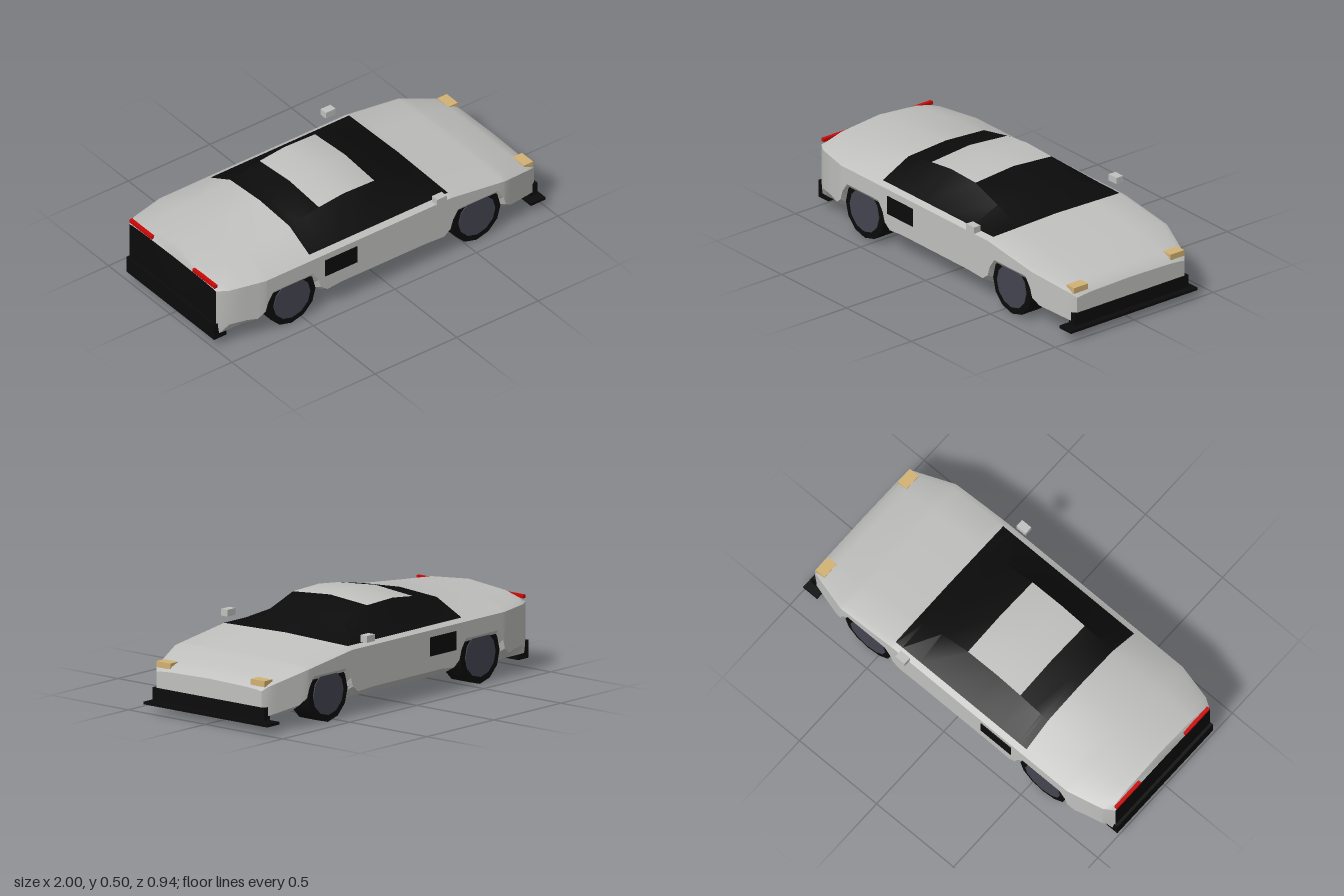
import * as THREE from 'three';
import { toCreasedNormals } from 'three/addons/utils/BufferGeometryUtils.js';

const mat = (name, color) => {
  const m = new THREE.MeshStandardMaterial({ color });
  m.name = name;
  return m;
};

// Straight-line interpolation through [x, value] points
function curve(points, x) {
  if (x <= points[0][0]) return points[0][1];
  for (let i = 1; i < points.length; i++) {
    const [x0, v0] = points[i - 1], [x1, v1] = points[i];
    if (x <= x1) return v0 + (v1 - v0) * (x - x0) / (x1 - x0);
  }
  return points[points.length - 1][1];
}

const AXLES = [-0.57, 0.565];

// Body lines along the length of the car
const SIDE_Z = [[-0.985, 0.35], [-0.93, 0.385], [-0.74, 0.43], [0.73, 0.43], [0.95, 0.36], [0.975, 0.34]];
const BELT_Y = [[-0.985, 0.335], [0.4, 0.335], [0.73, 0.29], [0.95, 0.23], [0.975, 0.21]];
const INNER_Y = [[-0.985, 0.338], [-0.965, 0.352], [-0.45, 0.35], [0.4, 0.35], [0.73, 0.302], [0.95, 0.24], [0.975, 0.215]];
const SHOULDER_Y = [[-0.985, 0.342], [-0.965, 0.378], [-0.74, 0.4], [-0.45, 0.43], [-0.27, 0.465], [-0.12, 0.482],
  [0.07, 0.476], [0.24, 0.418], [0.4, 0.354], [0.73, 0.308], [0.9, 0.262], [0.95, 0.244], [0.975, 0.22]];
const TOP_Y = [[-0.985, 0.345], [-0.965, 0.4], [-0.74, 0.416], [-0.45, 0.446], [-0.27, 0.486], [-0.12, 0.503],
  [0.07, 0.495], [0.24, 0.43], [0.4, 0.36], [0.73, 0.312], [0.9, 0.268], [0.95, 0.248], [0.975, 0.225]];
const SILL_Y = [[-0.985, 0.13], [0.74, 0.125], [0.975, 0.08]];
const ARCH_Y = [[0, 0.25], [0.12, 0.25], [0.155, 0.2], [0.17, 0.15], [0.21, 0.12]];
const ARCH_Z = [[0, 0.3], [0.15, 0.3], [0.21, 0.36]];

// One closed cross-section: floor, up the left side, over the top, down the right
function section(x) {
  const d = Math.min(...AXLES.map(a => Math.abs(x - a)));
  const side = curve(SIDE_Z, x);
  const sill = d < 0.21 ? curve(ARCH_Y, d) : curve(SILL_Y, x);
  const half = [
    [Math.min(curve(ARCH_Z, d), side - 0.005), 0.08],
    [side, Math.max(sill, 0.085)],
    [side, curve(BELT_Y, x)],
    [side - 0.03, curve(INNER_Y, x)],
    [0.24, curve(SHOULDER_Y, x)],
  ];
  const ring = [[0, 0.08], ...half, [0, curve(TOP_Y, x)], ...half.slice().reverse().map(([z, y]) => [-z, y])];
  return ring.map(([z, y]) => [x, y, z]);
}

function bodyGeometry() {
  const xs = [-0.985, -0.965, -0.93, -0.84, -0.45, -0.27, -0.12, 0.07, 0.24, 0.4, 0.9, 0.95, 0.975];
  for (const a of AXLES) for (const d of [0.12, 0.155, 0.17, 0.21]) xs.push(a - d, a + d);
  xs.sort((a, b) => a - b);
  const rings = xs.map(section), n = rings[0].length;
  const faces = [[], [], []]; // paint, glass, rear panel
  for (let i = 0; i < xs.length - 1; i++) {
    const mid = (xs[i] + xs[i + 1]) / 2;
    const cabin = mid > -0.45 && mid < 0.4;
    const roof = mid > -0.27 && mid < 0.07;
    for (let j = 0; j < n; j++) {
      const k = (j + 1) % n;
      const a = rings[i][j], b = rings[i + 1][j], c = rings[i + 1][k], d = rings[i][k];
      const sideGlass = j === 4 || j === 7, topStrip = j === 5 || j === 6;
      const glass = cabin && (sideGlass || (topStrip && !roof));
      faces[glass ? 1 : 0].push(...a, ...b, ...c, ...a, ...c, ...d);
    }
  }
  // Nose and tail caps
  const tail = rings[0], nose = rings[rings.length - 1];
  for (let j = 1; j < n - 1; j++) {
    faces[2].push(...tail[0], ...tail[j], ...tail[j + 1]);
    faces[0].push(...nose[0], ...nose[j + 1], ...nose[j]);
  }
  const geo = new THREE.BufferGeometry();
  geo.setAttribute('position', new THREE.Float32BufferAttribute(faces.flat(), 3));
  const smooth = toCreasedNormals(geo, 0.45);
  let start = 0;
  faces.forEach((f, i) => {
    smooth.addGroup(start, f.length / 3, i);
    start += f.length / 3;
  });
  return smooth;
}

export function createModel() {
  const car = new THREE.Group();
  car.name = 'car';
  const silver = mat('silver paint', 0xc0c0be);
  const black = mat('black trim', 0x0b0b0b);
  const hubGrey = mat('dark wheel grey', 0x444450);
  const amber = mat('amber lamp', 0xd2b274);
  const red = mat('red lamp', 0xcc0808);

  const add = (name, geo, material, x, y, z) => {
    const m = new THREE.Mesh(geo, material);
    m.name = name;
    m.position.set(x, y, z);
    car.add(m);
    return m;
  };
  // Box given by its low and high corners
  const box = (name, material, [x0, y0, z0], [x1, y1, z1]) =>
    add(name, new THREE.BoxGeometry(x1 - x0, y1 - y0, z1 - z0), material, (x0 + x1) / 2, (y0 + y1) / 2, (z0 + z1) / 2);

  add('body', bodyGeometry(), [silver, black, black], 0, 0, 0);

  // Bumpers and front splitter
  box('frontBumper', black, [0.935, 0.065, -0.36], [0.98, 0.13, 0.36]);
  box('frontSplitter', black, [0.91, 0.042, -0.4], [1, 0.056, 0.4]);
  box('rearBumper', black, [-1, 0.05, -0.355], [-0.925, 0.14, 0.355]);

  for (const s of [1, -1]) {
    const side = s > 0 ? 'left' : 'right';
    const pair = (name, material, [x0, y0, z0], [x1, y1, z1]) =>
      box(side + name, material, [x0, y0, Math.min(s * z0, s * z1)], [x1, y1, Math.max(s * z0, s * z1)]);
    pair('Headlight', amber, [0.905, 0.23, 0.26], [0.962, 0.26, 0.35]);
    pair('TailLight', red, [-0.99, 0.35, 0.165], [-0.972, 0.367, 0.345]);
    pair('Mirror', silver, [0.28, 0.366, 0.43], [0.34, 0.4, 0.472]);
    pair('SideVent', black, [-0.375, 0.205, 0.426], [-0.18, 0.3, 0.434]);

    // Wheels with a flat hub disc
    AXLES.forEach((x, i) => {
      const end = i ? 'Front' : 'Rear';
      const tyre = new THREE.CylinderGeometry(0.147, 0.147, 0.12, 12).rotateX(Math.PI / 2);
      add(side + end + 'Tyre', toCreasedNormals(tyre, 0.6), black, x, 0.147, s * 0.355);
      const hub = new THREE.CylinderGeometry(0.112, 0.112, 0.008, 12).rotateX(Math.PI / 2);
      add(side + end + 'Hub', toCreasedNormals(hub, 0.6), hubGrey, x, 0.147, s * 0.416);
    });
  }
  return car;
}
